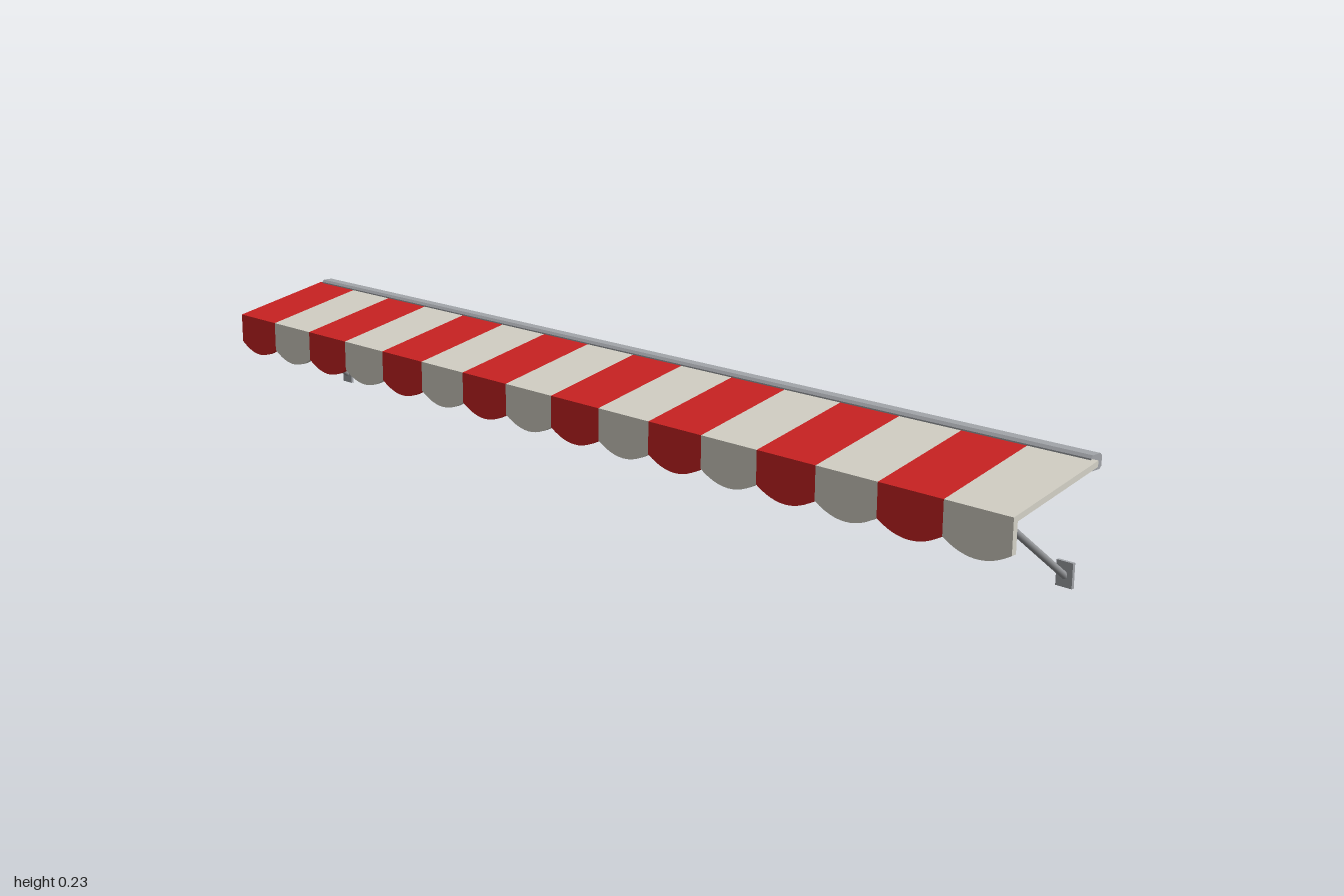
import * as THREE from 'three';

const STRIPES = 16;
const STRIPE_WIDTH = 2 / STRIPES;

// Extrude a (z, y) profile along x, centred on x = 0
function extrudeAlongX(profile, length) {
  const shape = new THREE.Shape(profile.map(([z, y]) => new THREE.Vector2(-z, y)));
  return new THREE.ExtrudeGeometry(shape, { depth: length, bevelEnabled: false })
    .translate(0, 0, -length / 2)
    .rotateY(Math.PI / 2);
}

export function createModel() {
  const material = (name, color) => {
    const m = new THREE.MeshStandardMaterial({ color });
    m.name = name;
    return m;
  };
  const red = material('red fabric', 0xcc2222);
  const cream = material('cream fabric', 0xd6d3c8);
  const metal = material('grey metal', 0xa2a5aa);
  const steel = material('arm steel', 0x96989b);

  const model = new THREE.Group();
  model.name = 'awning';
  const add = (name, geometry, mat, parent = model) => {
    const mesh = new THREE.Mesh(geometry, mat);
    mesh.name = name;
    parent.add(mesh);
    return mesh;
  };

  // Sloping canopy stripe
  const canopy = extrudeAlongX(
    [[0.117, 0.167], [0.117, 0.175], [-0.092, 0.22], [-0.092, 0.21], [0.107, 0.167]],
    STRIPE_WIDTH
  );

  // Hanging valance stripe with a scalloped lower edge
  const half = STRIPE_WIDTH / 2;
  const scallop = new THREE.Shape();
  scallop.moveTo(half, 0.167);
  scallop.lineTo(-half, 0.167);
  scallop.lineTo(-half, 0.117);
  scallop.quadraticCurveTo(0, 0.077, half, 0.117);
  const valance = new THREE.ExtrudeGeometry(scallop, {
    depth: 0.01, bevelEnabled: false, curveSegments: 12,
  }).translate(0, 0, 0.107);

  for (let i = 0; i < STRIPES; i++) {
    const stripe = new THREE.Group();
    stripe.name = 'fabricStripe';
    stripe.position.x = -1 + (i + 0.5) * STRIPE_WIDTH;
    const fabric = i % 2 ? cream : red;
    add('canopy', canopy, fabric, stripe);
    add('valance', valance, fabric, stripe);
    model.add(stripe);
  }

  // Chamfered roller cassette along the wall
  const w = 0.0145, h = 0.0125, c = 0.0045;
  const octagon = [
    [w, c - h], [w, h - c], [w - c, h], [c - w, h],
    [-w, h - c], [-w, c - h], [c - w, -h], [w - c, -h],
  ].map(([z, y]) => [z - 0.102, y + 0.2135]);
  add('cassette', extrudeAlongX(octagon, 1.98), metal);

  // Support arms with wall plates
  const top = new THREE.Vector3(0, 0.1565, 0.0755);
  const foot = new THREE.Vector3(0, 0.0185, -0.1125);
  const direction = top.clone().sub(foot);
  const arm = new THREE.CylinderGeometry(0.006, 0.006, direction.length(), 10);
  const plate = new THREE.BoxGeometry(0.03, 0.042, 0.006);
  for (const side of [-1, 1]) {
    const support = new THREE.Group();
    support.name = side > 0 ? 'leftSupport' : 'rightSupport';
    support.position.x = side * 0.94;
    const rod = add('arm', arm, steel, support);
    rod.position.copy(top).add(foot).multiplyScalar(0.5);
    rod.quaternion.setFromUnitVectors(new THREE.Vector3(0, 1, 0), direction.normalize());
    add('wallPlate', plate, metal, support).position.set(0, 0.021, -0.114);
    model.add(support);
  }

  return model;
}
